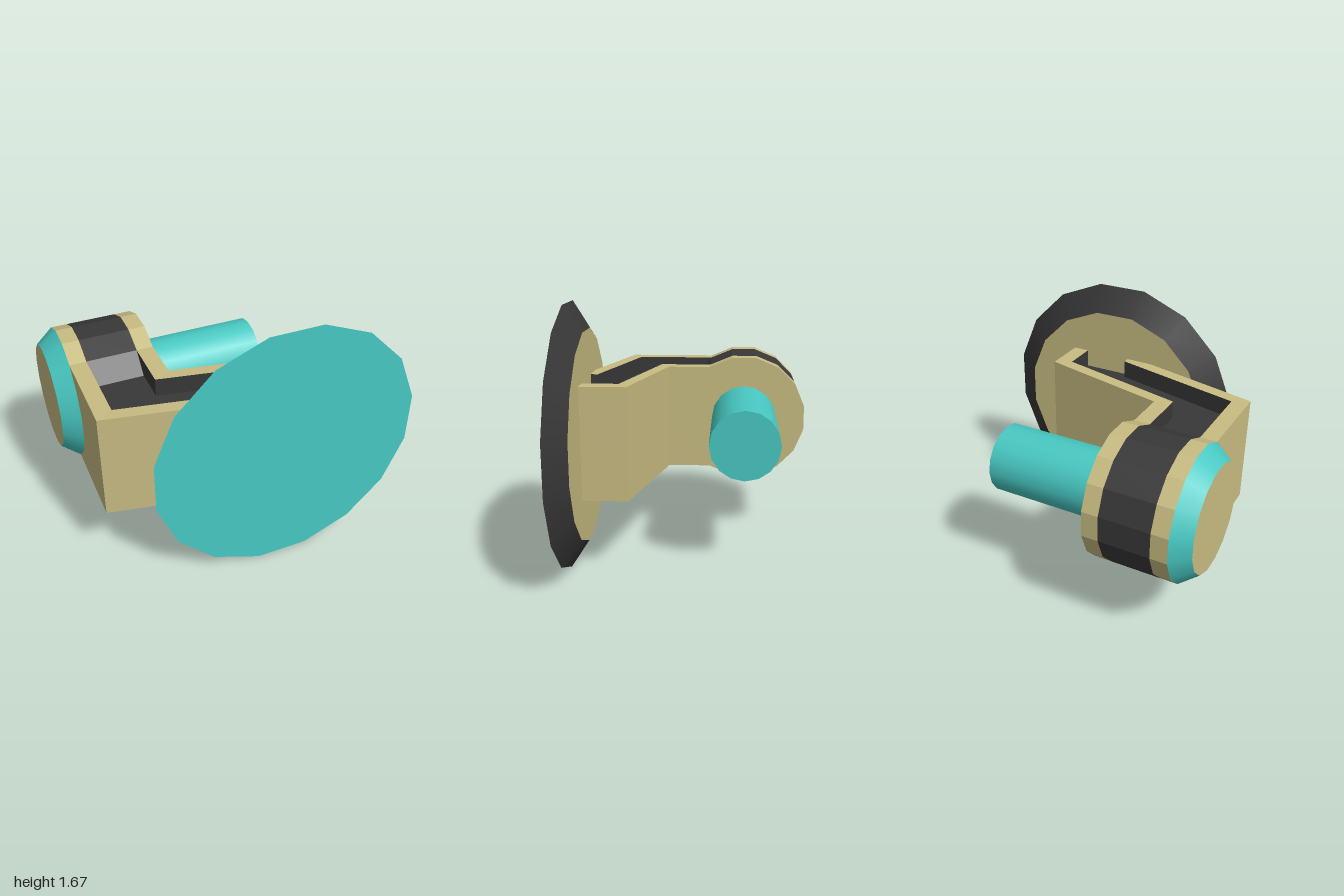
import * as THREE from 'three';

const teal = new THREE.MeshStandardMaterial({ color: 0x48c8c2 });
const tan = new THREE.MeshStandardMaterial({ color: 0xc8bc82, flatShading: true });
const black = new THREE.MeshStandardMaterial({ color: 0x383838, flatShading: true });
const blackSmooth = new THREE.MeshStandardMaterial({ color: 0x383838 });

const SIDES = 16, HALF = Math.PI / SIDES;
const CY = 0.8325, HUB_Z = -0.34, HUB_R = 0.4236;

function add(group, name, geometry, material) {
  const mesh = new THREE.Mesh(geometry, material);
  mesh.name = name;
  group.add(mesh);
}

// Open ring running along +y from radius r0 to r1, flat side up unless turned
const ring = (r0, r1, length, turn = HALF) =>
  new THREE.CylinderGeometry(r1, r0, length, SIDES, 1, true, turn);
const cap = (r, turn = HALF) => new THREE.CircleGeometry(r, SIDES, turn);

// Hub, bevelled end and shaft all lie along the x axis
function createHub() {
  const hub = new THREE.Group();
  hub.name = 'hub';
  const along = (name, r0, r1, x0, x1, mat, turn) =>
    add(hub, name, ring(r0, r1, x1 - x0, turn).rotateZ(-Math.PI / 2).translate((x0 + x1) / 2, 0, 0), mat);
  const end = (name, r, x, dir, mat, turn) =>
    add(hub, name, cap(r, turn).rotateY(dir * Math.PI / 2).translate(x, 0, 0), mat);

  end('hubEndFace', 0.338, -1, -1, tan);
  along('hubBevel', 0.338, HUB_R, -1, -0.89, teal);
  along('hubOuterRim', HUB_R, HUB_R, -0.89, -0.785, tan);
  along('hubBand', HUB_R, HUB_R, -0.785, -0.465, black);
  along('hubInnerRim', HUB_R, HUB_R, -0.465, -0.36, tan);
  end('hubInnerFace', HUB_R, -0.36, 1, tan);
  along('shaft', 0.22, 0.22, -0.36, 0.405, teal, 0);
  end('shaftEnd', 0.22, 0.405, 1, teal, 0);
  hub.position.set(0, CY, HUB_Z);
  return hub;
}

// Bevelled disc facing +z
function createDisc() {
  const disc = new THREE.Group();
  disc.name = 'disc';
  const z0 = 0.645, z1 = 0.755;
  add(disc, 'discFront', cap(0.849).translate(0, 0, z1), teal);
  add(disc, 'discBevel', ring(0.678, 0.849, z1 - z0).rotateX(Math.PI / 2).translate(0, 0, (z0 + z1) / 2), blackSmooth);
  add(disc, 'discBack', cap(0.678).rotateY(Math.PI).translate(0, 0, z0), tan);
  disc.position.set(0.1675, CY, 0);
  return disc;
}

// Cranked arm: an H section with a groove above and below, swept from hub to disc
function createArm() {
  const arm = new THREE.Group();
  arm.name = 'arm';
  const hubPoint = (k) => [HUB_R * Math.sin(k * HALF), HUB_Z + HUB_R * Math.cos(k * HALF)];
  const [e, zE] = hubPoint(1), [f, zF] = hubPoint(3), [h, zH] = hubPoint(5);
  const startZ = new Map([[e, zE], [f, zF], [h, zH]]);
  // For each lengthwise edge line: x and z at the first and second bend
  const lines = [
    [-0.89, 0.475, -0.05, 0.66],
    [-0.785, 0.415, 0.06, 0.6],
    [-0.465, 0.235, 0.375, 0.42],
    [-0.36, 0.178, 0.48, 0.362],
  ];
  const section = [
    [0, -h], [1, -h], [1, -f], [2, -f], [2, -h], [3, -h], [3, -f], [3, -e], [3, e], [3, f],
    [3, h], [2, h], [2, f], [1, f], [1, h], [0, h], [0, f], [0, e], [0, -e], [0, -f],
  ];
  const point = ([line, y], station) => {
    const [x1, z1, x2, z2] = lines[line];
    const rise = 0.018;
    return [
      [x1, CY + y, startZ.get(Math.abs(y))],
      [x1, CY + y, z1],
      [x2, CY + y + rise, z2],
      [x2, CY + y + rise, 0.67],
    ][station];
  };
  const walls = [], groove = [];
  section.forEach((p, i) => {
    const q = section[(i + 1) % section.length];
    const inGroove = [p, q].every(([line]) => line === 1 || line === 2);
    const out = inGroove ? groove : walls;
    for (let s = 0; s < 3; s++) {
      const a = point(p, s), b = point(q, s), c = point(p, s + 1), d = point(q, s + 1);
      out.push(...a, ...b, ...d, ...a, ...d, ...c);
    }
  });
  const build = (data) => {
    const g = new THREE.BufferGeometry();
    g.setAttribute('position', new THREE.Float32BufferAttribute(data, 3));
    g.computeVertexNormals();
    return g;
  };
  add(arm, 'armFlanges', build(walls), tan);
  add(arm, 'armGrooves', build(groove), black);
  return arm;
}

export function createModel() {
  const model = new THREE.Group();
  model.name = 'discOnCrankedArm';
  model.add(createHub(), createArm(), createDisc());
  return model;
}
